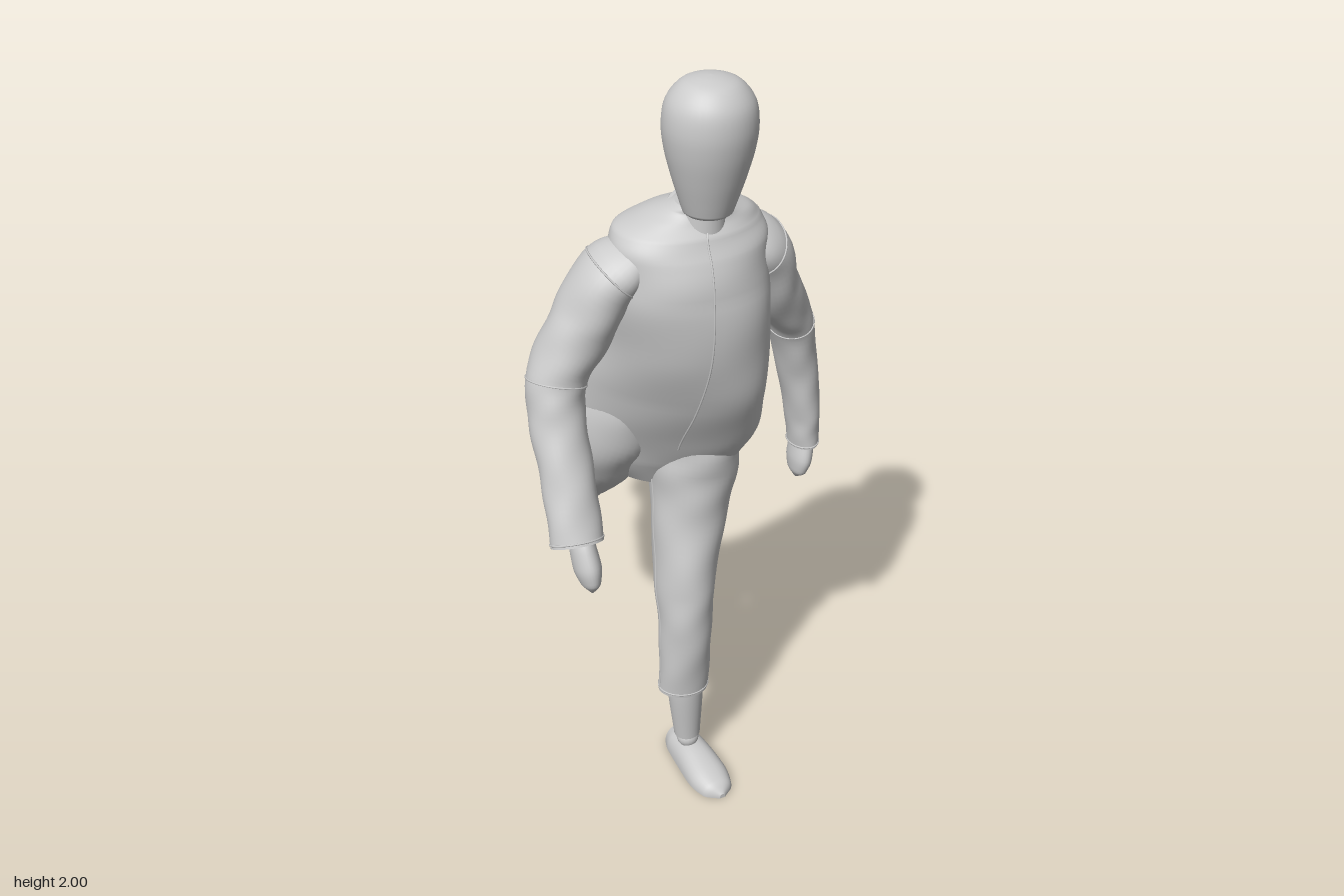
import * as THREE from 'three';

const V = (x, y, z) => new THREE.Vector3(x, y, z);
const material = new THREE.MeshStandardMaterial({ color: 0xcccccc });

// Surface swept through sections [x, y, z, halfWidth, halfDepth, skew]; returns (t, angle) -> point
function sweep(sections, { power = 2, folds = 0, flat = false, level = false } = {}) {
  const path = new THREE.CatmullRomCurve3(sections.map(s => V(s[0], s[1], s[2])));
  const size = new THREE.CatmullRomCurve3(sections.map(s => V(s[3], s[4], s[5] ?? 0)));
  const bend = v => Math.sign(v) * Math.abs(v) ** (2 / power);
  return (t, angle) => {
    const c = path.getPoint(t), r = size.getPoint(t);
    const dir = level ? V(0, -1, 0) : path.getTangent(t);
    const u = V(1, 0, 0).addScaledVector(dir, -dir.x).normalize();
    const v = dir.clone().cross(u);
    const cs = bend(Math.cos(angle)), sn = bend(Math.sin(angle));
    // soft diagonal cloth folds
    const k = 1 + folds * (Math.sin(26 * t + 2 * angle) * Math.sin(9 * t + angle + 1)
      + 0.6 * Math.sin(43 * t - 3 * angle));
    const across = cs * r.x * k;
    return c.addScaledVector(u, across)
      .addScaledVector(v, (flat ? Math.max(sn, 0) : sn) * r.y * k + across * r.z);
  };
}

// Skin a sweep with closed ends
function skin(name, surface, rows = 40, cols = 36) {
  const pos = [], index = [];
  const ring = t => {
    const first = pos.length / 3;
    for (let j = 0; j < cols; j++) pos.push(...surface(t, (j / cols) * Math.PI * 2).toArray());
    return first;
  };
  for (let i = 0; i <= rows; i++) ring(i / rows);
  for (let i = 0; i < rows; i++) for (let j = 0; j < cols; j++) {
    const a = i * cols + j, b = i * cols + (j + 1) % cols;
    index.push(a, b, a + cols, b, b + cols, a + cols);
  }
  for (const t of [0, 1]) {
    const first = ring(t), mid = V(0, 0, 0);
    for (let j = 0; j < cols; j++) mid.addScaledVector(V().fromArray(pos, (first + j) * 3), 1 / cols);
    const hub = pos.push(...mid.toArray()) / 3 - 1;
    for (let j = 0; j < cols; j++) {
      const a = first + j, b = first + (j + 1) % cols;
      t ? index.push(hub, a, b) : index.push(hub, b, a);
    }
  }
  const g = new THREE.BufferGeometry();
  g.setAttribute('position', new THREE.Float32BufferAttribute(pos, 3));
  g.setIndex(index);
  g.computeVertexNormals();
  return named(name, g);
}

function named(name, geometry) {
  const m = new THREE.Mesh(geometry, material);
  m.name = name;
  return m;
}

// Thin stitched seam through points
function seam(name, points, closed = false) {
  const curve = new THREE.CatmullRomCurve3(points, closed);
  return named(name, new THREE.TubeGeometry(curve, 60, 0.0024, 6, closed));
}
const steps = (n, f) => Array.from({ length: n }, (_, i) => f(i / n));

// Shoe: sole on y = 0, heel at z = 0, toe toward +z
function shoe(name) {
  return skin(name, sweep([
    [0, 0, 0, 0.036, 0.046], [0, 0, 0.03, 0.046, 0.056], [0, 0, 0.1, 0.052, 0.062],
    [0, 0, 0.18, 0.056, 0.05], [0, 0, 0.235, 0.042, 0.034], [0, 0, 0.26, 0.008, 0.012],
  ], { flat: true, power: 2.3 }), 24, 32);
}

export function createModel() {
  const model = new THREE.Group();
  const add = (...parts) => model.add(...parts);

  // Head and neck
  const headProfile = new THREE.SplineCurve([
    [0.056, 1.695], [0.066, 1.725], [0.083, 1.78], [0.098, 1.84], [0.104, 1.895],
    [0.096, 1.945], [0.068, 1.982], [0.034, 1.996], [0, 2],
  ].map(p => new THREE.Vector2(...p))).getPoints(40);
  headProfile.forEach(p => { p.x = Math.max(p.x, 0); });
  const head = named('head', new THREE.LatheGeometry([new THREE.Vector2(0, 1.69), new THREE.Vector2(0.05, 1.69), ...headProfile], 40));
  head.position.z = 0.472;
  const neck = named('neck', new THREE.CylinderGeometry(0.05, 0.055, 0.12, 28));
  neck.position.set(0, 1.66, 0.44);
  const collar = named('collar', new THREE.TorusGeometry(0.07, 0.009, 8, 36));
  collar.position.set(0, 1.666, 0.424);
  collar.rotation.x = Math.PI / 2 + 0.48;
  add(head, neck, collar);

  // Torso of the overall, twisting toward the hips
  const torso = sweep([
    [0, 1.7, 0.425, 0.056, 0.052], [0, 1.685, 0.405, 0.082, 0.068], [0, 1.665, 0.388, 0.13, 0.09, -0.03],
    [-0.01, 1.637, 0.38, 0.174, 0.118, -0.06], [-0.01, 1.59, 0.38, 0.19, 0.145, -0.06],
    [-0.01, 1.5, 0.385, 0.19, 0.165, -0.03], [-0.01, 1.35, 0.365, 0.19, 0.178, 0.18],
    [-0.02, 1.2, 0.325, 0.195, 0.165, 0.4], [-0.03, 1.06, 0.27, 0.2, 0.14, 0.5],
    [-0.025, 0.96, 0.245, 0.172, 0.11, 0.45], [-0.02, 0.88, 0.235, 0.1, 0.07, 0.4],
  ], { power: 2.1, folds: 0.012, level: true });
  add(skin('torso', torso, 80, 56));
  add(seam('frontSeam', steps(30, s => torso(0.26 + 0.58 * s, Math.PI / 2))));
  add(seam('backSeam', steps(30, s => torso(0.2 + 0.64 * s, -Math.PI / 2))));
  for (const [name, angle] of [['leftSideSeam', 0.1], ['rightSideSeam', Math.PI - 0.1]])
    add(seam(name, steps(20, s => torso(0.55 + 0.27 * s, angle))));

  // Sleeves
  const sleeves = {
    left: [
      [0.08, 1.587, 0.385, 0.042, 0.07], [0.168, 1.543, 0.376, 0.066, 0.092], [0.222, 1.42, 0.335, 0.066, 0.09],
      [0.293, 1.3, 0.287, 0.056, 0.083], [0.333, 1.15, 0.265, 0.05, 0.07], [0.357, 1.0, 0.265, 0.042, 0.062],
      [0.365, 0.905, 0.268, 0.037, 0.052],
    ],
    right: [
      [-0.1, 1.587, 0.395, 0.042, 0.07], [-0.195, 1.542, 0.396, 0.067, 0.094], [-0.262, 1.42, 0.385, 0.075, 0.086],
      [-0.325, 1.3, 0.39, 0.07, 0.078], [-0.337, 1.2, 0.425, 0.066, 0.066], [-0.336, 1.07, 0.495, 0.063, 0.056],
      [-0.335, 0.945, 0.555, 0.063, 0.05],
    ],
  };
  for (const [side, sections] of Object.entries(sleeves)) {
    const s = sweep(sections, { folds: 0.025 });
    add(skin(side + 'Sleeve', s, 48));
    for (const [part, t] of [['ArmholeSeam', 0.17], ['ElbowSeam', 0.52], ['CuffHem', 0.99]])
      add(seam(side + part, steps(24, a => s(t, a * Math.PI * 2)), true));
  }

  // Mitten hands
  add(skin('leftHand', sweep([
    [0.363, 0.96, 0.268, 0.02, 0.03], [0.362, 0.91, 0.268, 0.027, 0.044], [0.356, 0.865, 0.271, 0.028, 0.05],
    [0.35, 0.825, 0.273, 0.02, 0.038], [0.347, 0.803, 0.274, 0.003, 0.006],
  ]), 20, 28));
  add(skin('rightHand', sweep([
    [-0.328, 0.985, 0.535, 0.02, 0.03], [-0.325, 0.935, 0.556, 0.03, 0.045], [-0.32, 0.89, 0.573, 0.032, 0.05],
    [-0.316, 0.85, 0.587, 0.022, 0.038], [-0.315, 0.828, 0.594, 0.003, 0.006],
  ]), 20, 28));

  // Trouser legs: left one standing, right one swung back with a bent knee
  const trousers = {
    left: [
      [0.04, 1.25, 0.335, 0.09, 0.11], [0.055, 1.08, 0.285, 0.11, 0.135], [0.053, 0.95, 0.287, 0.112, 0.128],
      [0.037, 0.8, 0.308, 0.096, 0.106], [0.013, 0.6, 0.345, 0.076, 0.094], [0.008, 0.45, 0.37, 0.068, 0.072],
      [0.008, 0.27, 0.369, 0.067, 0.052],
    ],
    right: [
      [-0.1, 1.18, 0.28, 0.085, 0.1], [-0.13, 1.04, 0.215, 0.106, 0.122], [-0.138, 0.92, 0.125, 0.105, 0.117],
      [-0.14, 0.795, -0.01, 0.098, 0.114], [-0.122, 0.673, -0.105, 0.078, 0.073],
      [-0.105, 0.658, -0.2, 0.068, 0.057], [-0.06, 0.66, -0.37, 0.06, 0.054],
    ],
  };
  for (const [side, sections] of Object.entries(trousers)) {
    const s = sweep(sections, { folds: 0.02 });
    add(skin(side + 'TrouserLeg', s, 60, 40));
    add(seam(side + 'TrouserHem', steps(24, a => s(0.99, a * Math.PI * 2)), true));
    for (const angle of [0, Math.PI])
      add(seam(side + 'TrouserSideSeam', steps(20, t => s(0.4 + 0.62 * t, angle))));
  }

  // Shins and ankles
  add(skin('leftShin', sweep([
    [0.012, 0.32, 0.366, 0.048, 0.047], [0.015, 0.25, 0.364, 0.047, 0.046], [0.024, 0.095, 0.36, 0.035, 0.034],
  ]), 12, 28));
  add(skin('rightShin', sweep([
    [-0.075, 0.66, -0.31, 0.052, 0.048], [-0.056, 0.66, -0.38, 0.051, 0.047], [-0.008, 0.656, -0.54, 0.036, 0.032],
  ]), 12, 28));
  for (const [name, p] of [['leftAnkle', [0.027, 0.075, 0.358]], ['rightAnkle', [0, 0.655, -0.56]]]) {
    const ankle = named(name, new THREE.SphereGeometry(0.03, 20, 14));
    ankle.position.set(...p);
    add(ankle);
  }

  // Shoes
  const leftShoe = shoe('leftShoe');
  leftShoe.position.set(0.026, 0.002, 0.282);
  leftShoe.rotation.y = 0.12;
  const rightShoe = shoe('rightShoe');
  const toe = V(0.21, -0.97, 0.07).normalize();
  const up = V(-0.3, 0, 0.95).addScaledVector(toe, -V(-0.3, 0, 0.95).dot(toe)).normalize();
  rightShoe.quaternion.setFromRotationMatrix(new THREE.Matrix4().makeBasis(up.clone().cross(toe), up, toe));
  rightShoe.position.set(0.004, 0.737, -0.614);
  add(leftShoe, rightShoe);
  return model;
}
